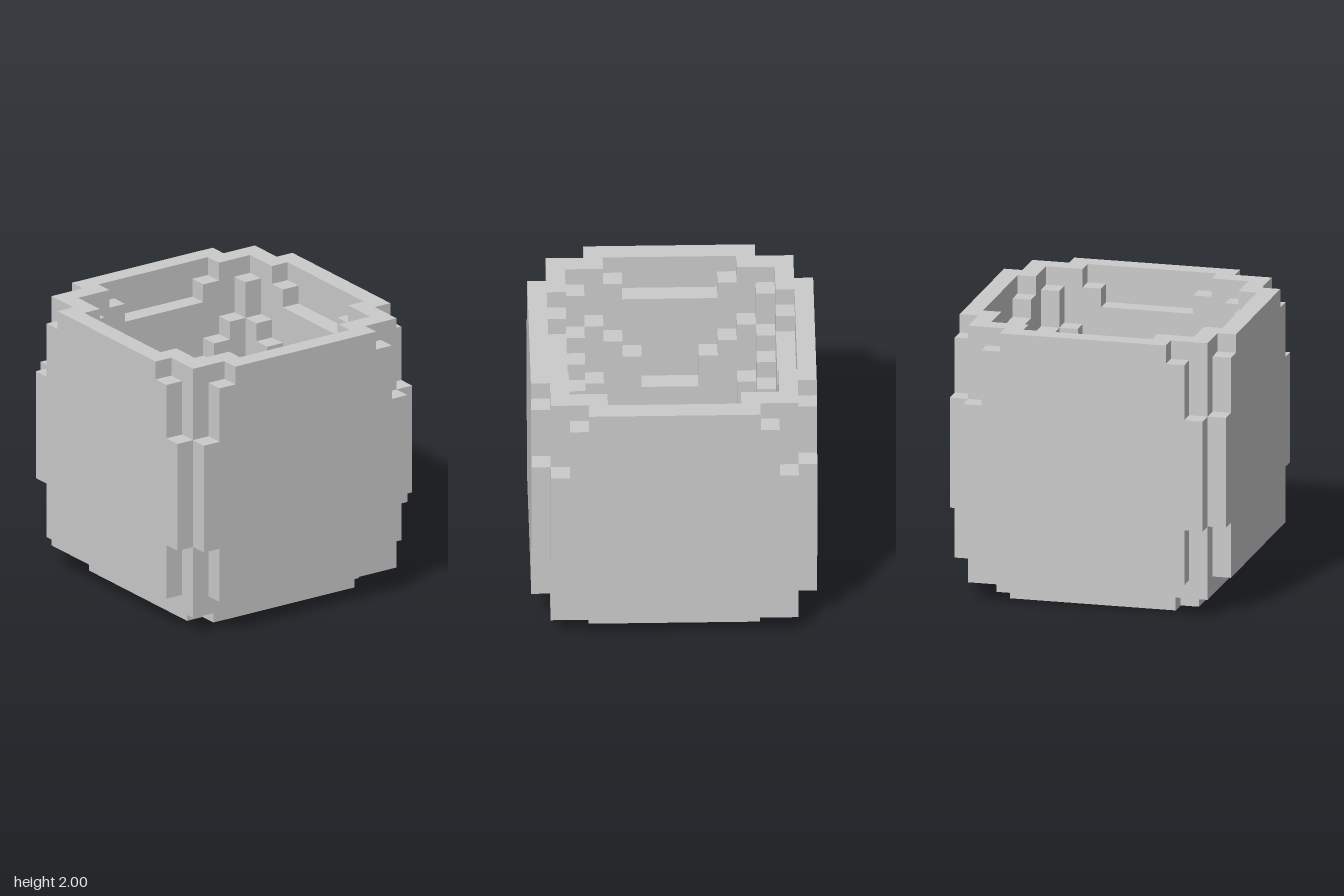
import * as THREE from 'three';

const UNIT = 2 / 15; // one block; the model is 15 blocks on a side
const material = new THREE.MeshStandardMaterial({ color: 0xcccccc, flatShading: true });

// Column heights of the bowl, in blocks: [larger offset from centre][smaller offset]
const HEIGHTS = [
  [1],
  [2, 2],
  [2, 2, 2],
  [2, 2, 2, 3],
  [4, 5, 5, 6, 9],
  [8, 8, 10, 11, 12, 14],
  [13, 13, 13, 14, 15, 15, 15],
];
const FLOOR = 1;

function columnHeight(x, z) {
  const a = Math.abs(x), b = Math.abs(z);
  const far = Math.max(a, b);
  return far > 6 ? FLOOR : HEIGHTS[far][Math.min(a, b)];
}

// Hollow body: stepped columns, only their exposed faces
function bodyGeometry() {
  const positions = [];
  const quad = (a, b, c, d) => positions.push(...a, ...b, ...c, ...a, ...c, ...d);
  const sides = [[1, 0], [-1, 0], [0, 1], [0, -1]];

  for (let x = -6; x <= 6; x++) {
    for (let z = -6; z <= 6; z++) {
      const h = columnHeight(x, z);
      const l = x - 0.5, r = x + 0.5, b = z - 0.5, f = z + 0.5;
      // the lowest pit is closed by the base below
      if (h > FLOOR) quad([l, h, f], [r, h, f], [r, h, b], [l, h, b]);
      for (const [dx, dz] of sides) {
        const n = columnHeight(x + dx, z + dz);
        if (n >= h) continue;
        const cx = x + dx / 2, cz = z + dz / 2;
        const tx = dz / 2, tz = -dx / 2;
        quad([cx - tx, n, cz - tz], [cx + tx, n, cz + tz],
          [cx + tx, h, cz + tz], [cx - tx, h, cz - tz]);
      }
    }
  }
  // underside
  const e = 6.5;
  quad([-e, FLOOR, -e], [e, FLOOR, -e], [e, FLOOR, e], [-e, FLOOR, e]);

  const geometry = new THREE.BufferGeometry();
  geometry.setAttribute('position', new THREE.Float32BufferAttribute(positions, 3));
  geometry.computeVertexNormals();
  return geometry;
}

// One-block-thick plate from the right half of a mirrored outline, bottom to top
function plateGeometry(half) {
  const left = half.map(([x, y]) => [-x, y]).reverse();
  const shape = new THREE.Shape([...half, ...left].map(([x, y]) => new THREE.Vector2(x, y)));
  return new THREE.ExtrudeGeometry(shape, { depth: 1, bevelEnabled: false });
}

export function createModel() {
  const group = new THREE.Group();
  group.name = 'blockPot';

  const add = (name, geometry) => {
    geometry.scale(UNIT, UNIT, UNIT);
    const mesh = new THREE.Mesh(geometry, material);
    mesh.name = name;
    group.add(mesh);
  };

  add('body', bodyGeometry());

  // Raised panel on each of the four sides
  const panelOutline = [
    [5.5, 2], [5.5, 5], [6.5, 5], [6.5, 11],
    [5.5, 11], [5.5, 14], [4.5, 14], [4.5, 15],
  ];
  ['frontPanel', 'leftPanel', 'backPanel', 'rightPanel'].forEach((name, i) => {
    const panel = plateGeometry(panelOutline);
    panel.translate(0, 0, 6.5).rotateY(i * Math.PI / 2);
    add(name, panel);
  });

  // Base plate with notched corners
  const base = plateGeometry([
    [4.5, -5.5], [4.5, -4.5], [5.5, -4.5],
    [5.5, 4.5], [4.5, 4.5], [4.5, 5.5],
  ]);
  base.rotateX(-Math.PI / 2);
  add('base', base);

  return group;
}
